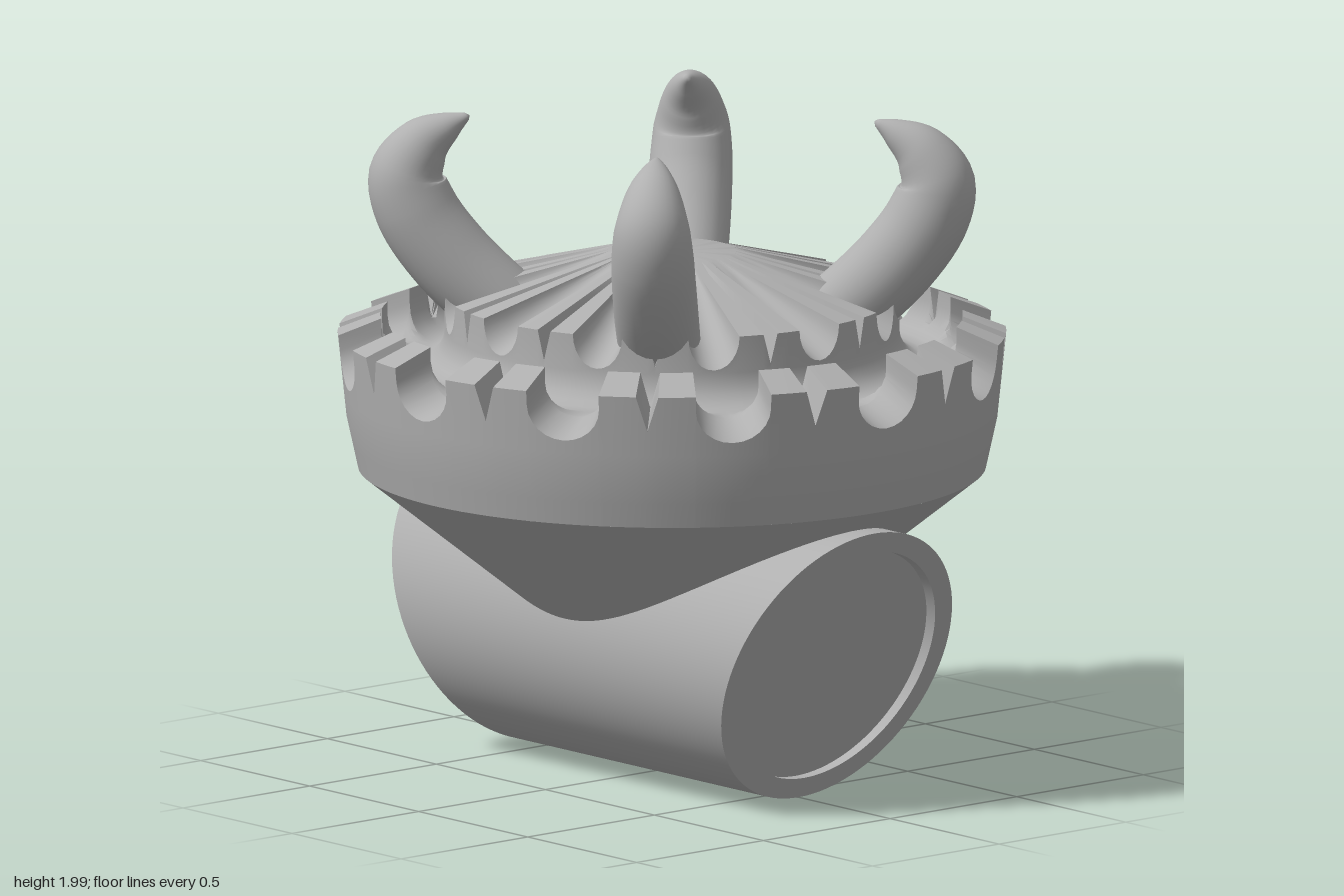
import * as THREE from 'three';
import { toCreasedNormals } from 'three/addons/utils/BufferGeometryUtils.js';

const SECTORS = 12;
const PIPE_R = 0.43, BORE_R = 0.367;

// One sector of the fluting: [angle, flute depth 0..1, rim-only extra depth 0..1]
function sectorColumns() {
  const half = 0.115, v = 0.034, mid = Math.PI / SECTORS, cols = [[-half, 0, 0]];
  for (let k = 0; k <= 12; k++) {
    const a = -Math.PI / 2 + (Math.PI * k) / 12;
    cols.push([half * Math.sin(a), Math.cos(a), 1]);
  }
  cols.push([half, 0, 0], [(half + mid - v) / 2, 0, 0]);
  cols.push([mid - v, 0, 0], [mid, 0.9, 0.4], [mid + v, 0, 0]);
  cols.push([2 * mid - (half + mid - v) / 2, 0, 0]);
  return cols;
}

// Radial section of the cup: outer wall, notched rim, round channel, fluted hub
function cupSection(flute, extra) {
  const wallR = y => (y < 1.08 ? 0.94 + (y - 0.925) * 0.22 : 0.974 + (y - 1.08) * 0.104);
  const cut = 0.1 * flute + 0.045 * extra;
  const rimY = 1.335 - cut;
  const pts = [[0.94, 0.925], [wallR(1.0), 1.0], [wallR(1.08), 1.08], [wallR(1.15), 1.15],
    [wallR(rimY), rimY], [0.872, 1.385 - cut]];
  for (let k = 0; k <= 10; k++) {
    const a = (Math.PI * k) / 10;
    const y = 1.34 - 0.1 * Math.sin(a);
    pts.push([0.776 + 0.096 * Math.cos(a), Math.min(y, k < 5 ? 1.385 - cut : y)]);
  }
  for (let k = 0; k <= 6; k++) {
    const t = 1 - k / 6, r = 0.19 + 0.49 * t;
    pts.push([r, 1.58 - 0.13 * t - 0.1 * flute * t]);
  }
  pts.push([0, 1.58]);
  return pts;
}

function cupGeometry() {
  const columns = [];
  for (let s = 0; s < SECTORS; s++) {
    for (const [a, flute, extra] of sectorColumns()) {
      const th = a + (s * 2 * Math.PI) / SECTORS;
      columns.push(cupSection(flute, extra).map(([r, y]) =>
        new THREE.Vector3(r * Math.sin(th), y, r * Math.cos(th))));
    }
  }
  const pos = [], tri = new THREE.Triangle();
  const add = (a, b, c) => {
    if (tri.set(a, b, c).getArea() > 1e-8) for (const p of [a, b, c]) pos.push(p.x, p.y, p.z);
  };
  columns.forEach((col, j) => {
    const next = columns[(j + 1) % columns.length];
    for (let i = 0; i < col.length - 1; i++) {
      add(col[i], next[i], next[i + 1]);
      add(col[i], next[i + 1], col[i + 1]);
    }
  });
  const geo = new THREE.BufferGeometry();
  geo.setAttribute('position', new THREE.Float32BufferAttribute(pos, 3));
  return toCreasedNormals(geo, 0.55);
}

// Curved claw in the y-z plane, swept with a varying radius: [outward, height, radius]
function clawGeometry() {
  const path = [[0.42, 1.33, 0.12], [0.53, 1.42, 0.125], [0.665, 1.55, 0.127], [0.765, 1.69, 0.125],
    [0.795, 1.8, 0.115], [0.745, 1.895, 0.085], [0.67, 1.95, 0.045], [0.615, 1.98, 0.012]];
  const curve = new THREE.CatmullRomCurve3(path.map(([d, y]) => new THREE.Vector3(0, y, d)));
  const radii = new THREE.CatmullRomCurve3(path.map(p => new THREE.Vector3(p[2], 0, 0)));
  const rings = 40, sides = 28, pos = [], idx = [];
  for (let i = 0; i <= rings; i++) {
    const c = curve.getPoint(i / rings), t = curve.getTangent(i / rings);
    const r = radii.getPoint(i / rings).x;
    for (let j = 0; j < sides; j++) {
      const a = (j / sides) * 2 * Math.PI, u = r * Math.cos(a), w = r * Math.sin(a);
      pos.push(u, c.y + w * t.z, c.z - w * t.y);
      if (i < rings) {
        const k = (j + 1) % sides, p = i * sides, q = p + sides;
        idx.push(p + j, q + k, q + j, p + j, p + k, q + k);
      }
    }
  }
  const tip = curve.getPoint(1), last = rings * sides;
  pos.push(0, tip.y + 0.004, tip.z - 0.008);
  for (let j = 0; j < sides; j++) idx.push(last + j, last + ((j + 1) % sides), last + sides);
  // make the winding face outwards
  const geo = new THREE.BufferGeometry();
  geo.setAttribute('position', new THREE.Float32BufferAttribute(pos, 3));
  const A = new THREE.Vector3(), B = new THREE.Vector3(), C = new THREE.Vector3();
  let volume = 0;
  for (let i = 0; i < idx.length; i += 3) {
    A.fromArray(pos, idx[i] * 3); B.fromArray(pos, idx[i + 1] * 3); C.fromArray(pos, idx[i + 2] * 3);
    A.y -= 1.6; B.y -= 1.6; C.y -= 1.6;
    A.z -= 0.6; B.z -= 0.6; C.z -= 0.6;
    volume += A.dot(B.cross(C));
  }
  geo.setIndex(volume < 0 ? idx.reverse() : idx);
  geo.computeVertexNormals();
  return geo;
}

// Places flat pieces (z = 0) or tube ends on the slanted end plane of the pipe
const endZ = y => 0.58 + 0.35 * (y / (2 * PIPE_R));
function slant(geo, zAt) {
  geo.translate(0, PIPE_R, 0);
  const p = geo.attributes.position;
  for (let i = 0; i < p.count; i++) p.setZ(i, zAt(p.getY(i), p.getZ(i)));
  return geo;
}
const tube = r => new THREE.CylinderGeometry(r, r, 1, 96, 1, true).rotateX(Math.PI / 2);

export function createModel() {
  const model = new THREE.Group();
  const grey = new THREE.MeshStandardMaterial({ color: 0xb0b0b0 });
  grey.name = 'plain grey';
  const greyOpen = grey.clone();
  greyOpen.side = THREE.DoubleSide;
  const add = (parent, name, geo, mat = grey) => {
    const mesh = new THREE.Mesh(geo, mat);
    mesh.name = name;
    parent.add(mesh);
    return mesh;
  };

  // Cross pipe, built as two mirrored halves with recessed slanted ends
  const DEPTH = 0.04;
  for (const side of ['front', 'back']) {
    const half = new THREE.Group();
    half.name = side + 'PipeHalf';
    add(half, 'pipeWall', slant(tube(PIPE_R), (y, z) => (z > 0 ? endZ(y) : 0)));
    add(half, 'recessWall', slant(tube(BORE_R), (y, z) => endZ(y) - (z > 0 ? 0 : DEPTH)), greyOpen);
    const lip = slant(new THREE.RingGeometry(BORE_R, PIPE_R, 96), y => endZ(y));
    const cap = slant(new THREE.CircleGeometry(BORE_R, 96), y => endZ(y) - DEPTH);
    lip.computeVertexNormals();
    cap.computeVertexNormals();
    add(half, 'pipeLip', lip);
    add(half, 'pipeCap', cap);
    if (side === 'back') half.rotation.y = Math.PI;
    model.add(half);
  }

  // Cone joining the pipe to the cup
  const cone = new THREE.CylinderGeometry(0.94, 0.345, 0.475, 96, 1, true);
  add(model, 'lowerCone', cone.translate(0, 0.6875, 0));

  // Cup with notched rim, channel and fluted hub
  add(model, 'notchedCup', cupGeometry());

  // Four claws on the diagonals
  const claw = clawGeometry();
  for (let k = 0; k < 4; k++) {
    add(model, 'claw', claw).rotation.y = Math.PI / 4 + (k * Math.PI) / 2;
  }
  return model;
}
